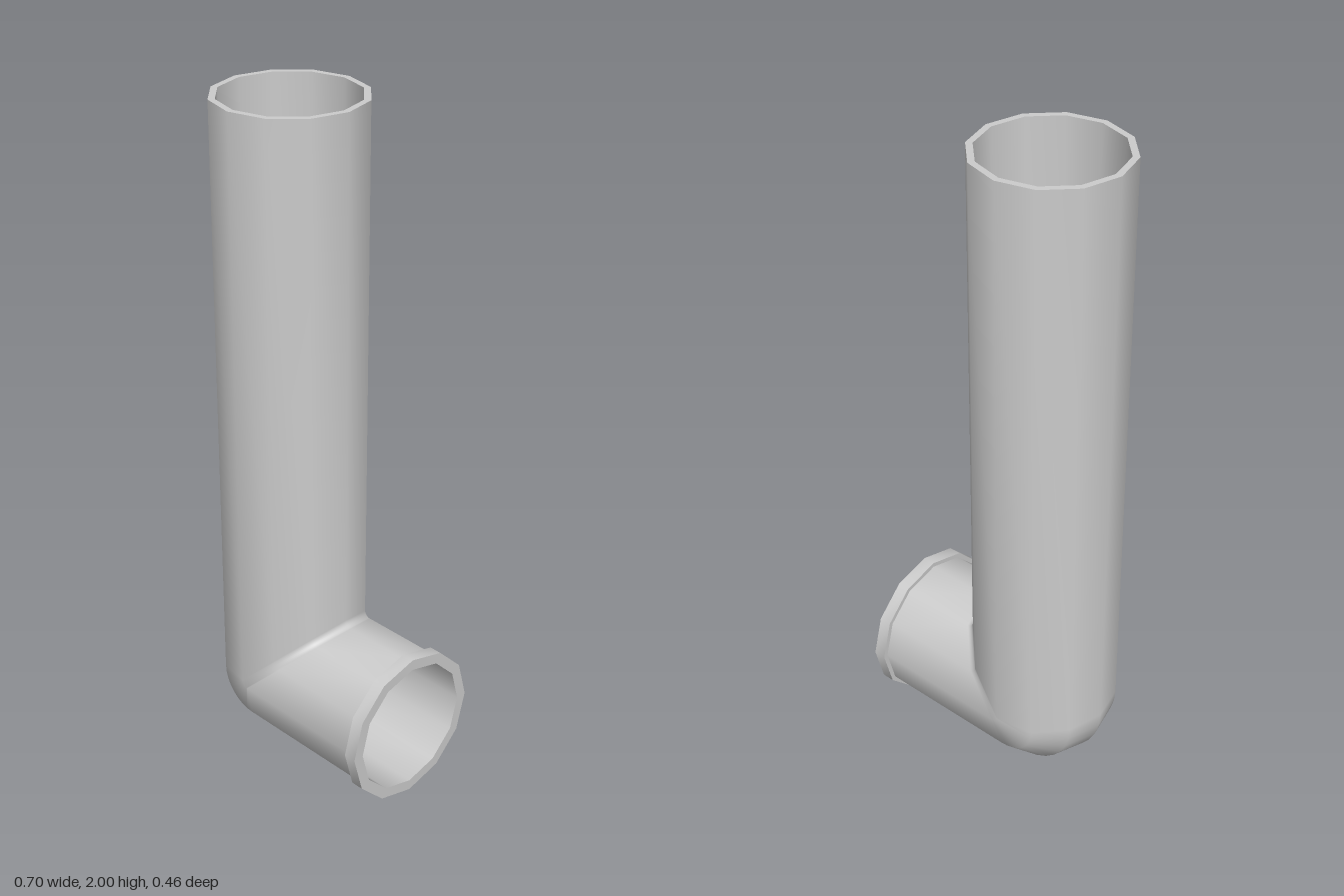
import * as THREE from 'three';

const SIDES = 12, BEND_STEPS = 8;
const CX = -0.135, CY = 0.232;            // axes of the upright and the outlet
const TOP = 2, END = 0.35, COLLAR = 0.312;
const OUTER = 0.217, INNER = 0.198, COLLAR_R = 0.231;

const material = new THREE.MeshStandardMaterial({ color: 0xcccccc });

// One closed cross-section: u points to the inside of the bend, z sideways
function ring(radius, place) {
  return Array.from({ length: SIDES }, (_, k) => {
    const a = (k / SIDES) * Math.PI * 2;
    const z = radius * Math.sin(a);
    const [x, y] = place(radius * Math.cos(a));
    return [x, y, z];
  });
}
const uprightRing = (y, radius) => ring(radius, u => [CX + u, y]);
const outletRing = (x, radius) => ring(radius, u => [x, CY + u]);

// Skin between successive cross-sections
function loft(name, rings) {
  const index = [];
  for (let j = 0; j < rings.length - 1; j++) {
    for (let k = 0; k < SIDES; k++) {
      const n = (k + 1) % SIDES;
      const a = j * SIDES + k, b = j * SIDES + n;
      index.push(a, b, a + SIDES, b, b + SIDES, a + SIDES);
    }
  }
  const geometry = new THREE.BufferGeometry();
  geometry.setAttribute('position', new THREE.Float32BufferAttribute(rings.flat(2), 3));
  geometry.setIndex(index);
  geometry.computeVertexNormals();
  const mesh = new THREE.Mesh(geometry, material);
  mesh.name = name;
  return mesh;
}

// Upright, ball-shaped outer heel with a tight inner corner, then the outlet
function elbowRings(radius, end) {
  const rings = [uprightRing(TOP, radius)];
  for (let i = 0; i <= BEND_STEPS; i++) {
    const t = Math.PI + (i / BEND_STEPS) * Math.PI / 2;
    rings.push(ring(radius, u => {
      const r = Math.max(0.02, -u * 1.05);
      return [CX + u + r + r * Math.cos(t), CY + u + r + r * Math.sin(t)];
    }));
  }
  rings.push(outletRing(end, radius));
  return rings;
}

export function createModel() {
  const group = new THREE.Group();
  group.name = 'elbowPipe';

  // Pipe walls
  group.add(loft('outerWall', elbowRings(OUTER, COLLAR)));
  group.add(loft('innerWall', elbowRings(INNER, END).reverse()));
  group.add(loft('topRim', [uprightRing(TOP, INNER), uprightRing(TOP, OUTER)]));

  // Collar around the outlet, with sharp edges
  const collar = new THREE.Group();
  collar.name = 'collar';
  collar.add(
    loft('collarBack', [outletRing(COLLAR, OUTER), outletRing(COLLAR, COLLAR_R)]),
    loft('collarBand', [outletRing(COLLAR, COLLAR_R), outletRing(END, COLLAR_R)]),
    loft('collarFace', [outletRing(END, COLLAR_R), outletRing(END, INNER)])
  );
  group.add(collar);
  return group;
}
